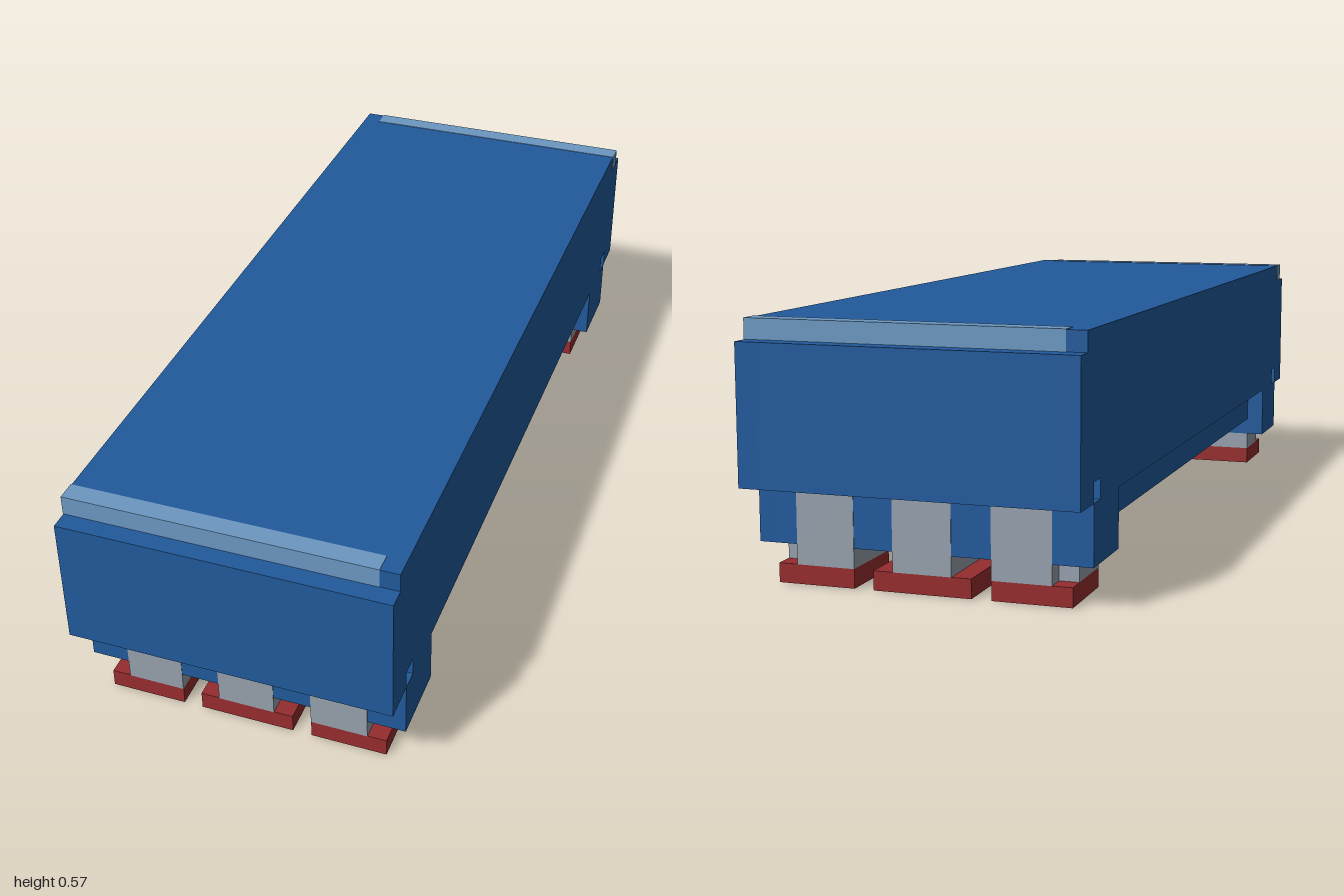
import * as THREE from 'three';

const U = 2 / 46; // one building unit: the model is 46 units long
const E = 0.03;   // small offset, in units, for flush colour faces

function material(name, hex) {
  const m = new THREE.MeshStandardMaterial({ color: hex });
  m.name = name;
  return m;
}

export function createModel() {
  const blue = material('blue', 0x215a9c);
  const lightBlue = material('light blue', 0x6c98c2);
  const grey = material('grey', 0x96a1ad);
  const red = material('red', 0x962c2e);

  const group = new THREE.Group();
  group.name = 'lowBlockContainer';

  function add(parent, name, geometry, mat) {
    const mesh = new THREE.Mesh(geometry, mat);
    mesh.name = name;
    parent.add(mesh);
    return mesh;
  }

  // box given by its limits in units
  function box(parent, name, mat, x0, x1, y0, y1, z0, z1) {
    const g = new THREE.BoxGeometry((x1 - x0) * U, (y1 - y0) * U, (z1 - z0) * U);
    g.translate((x0 + x1) / 2 * U, (y0 + y1) / 2 * U, (z0 + z1) / 2 * U);
    return add(parent, name, g, mat);
  }

  // side outline (z, y) of the body with its stepped roof ends and end legs
  const half = [[17, 5], [17, 2], [21, 2], [21, 5], [23, 5], [23, 12], [22, 12], [22, 13]];
  const outline = [...half, ...half.map(([z, y]) => [-z, y]).reverse()];
  const points = (list) => list.map(([z, y]) => new THREE.Vector2(z * U, y * U));

  function slab(name, x0, x1, notched) {
    const shape = new THREE.Shape(points(outline));
    if (notched) {
      for (const z of [-21, 20]) {
        shape.holes.push(new THREE.Path(points([[z, 5.01], [z, 6], [z + 1, 6], [z + 1, 5.01]])));
      }
    }
    const g = new THREE.ExtrudeGeometry(shape, { depth: (x1 - x0) * U, bevelEnabled: false });
    g.rotateY(-Math.PI / 2);
    g.translate(x1 * U, 0, 0);
    add(group, name, g, blue);
  }

  slab('bodyCore', -7.5, 7.5, false);
  slab('rightSidePanel', -8.5, -7.5, true);
  slab('leftSidePanel', 7.5, 8.5, true);

  // three long rails under the floor
  for (const x of [-6, 0, 6]) box(group, 'floorRail', blue, x - 1.5, x + 1.5, 3, 5, -17, 17);

  // each end is the other turned half round
  for (const end of [0, 1]) {
    const g = new THREE.Group();
    g.name = end ? 'backEnd' : 'frontEnd';
    g.rotation.y = end * Math.PI;
    group.add(g);

    // pale strip along the roof edge, stopping short of one corner
    box(g, 'roofStrip', lightBlue, -8.5 - E, 7.5, 12, 13 + E, 21, 22 + E);

    // posts and feet: column centre, pad centre, pad half width
    for (const [cx, px, hw] of [[-5, -5.5, 2], [0, 0, 2.5], [5, 5.5, 2]]) {
      box(g, 'postBase', grey, cx - 1.5, cx + 1.5, 1, 2, 17, 21 + E);
      box(g, 'post', grey, cx - 1.5, cx + 1.5, 2, 5, 19, 21 + E);
      if (cx) {
        const s = Math.sign(cx);
        box(g, 'postShoulder', grey, s * 7 - 0.5, s * 7 + 0.5, 1, 2, 17, 20);
      }
      box(g, 'footPad', red, px - hw, px + hw, E, 1, 17, 21);
      box(g, 'footSole', grey, px - hw + 1, px + hw - 1, 0, 0.1, 18, 20);
    }
  }
  return group;
}
